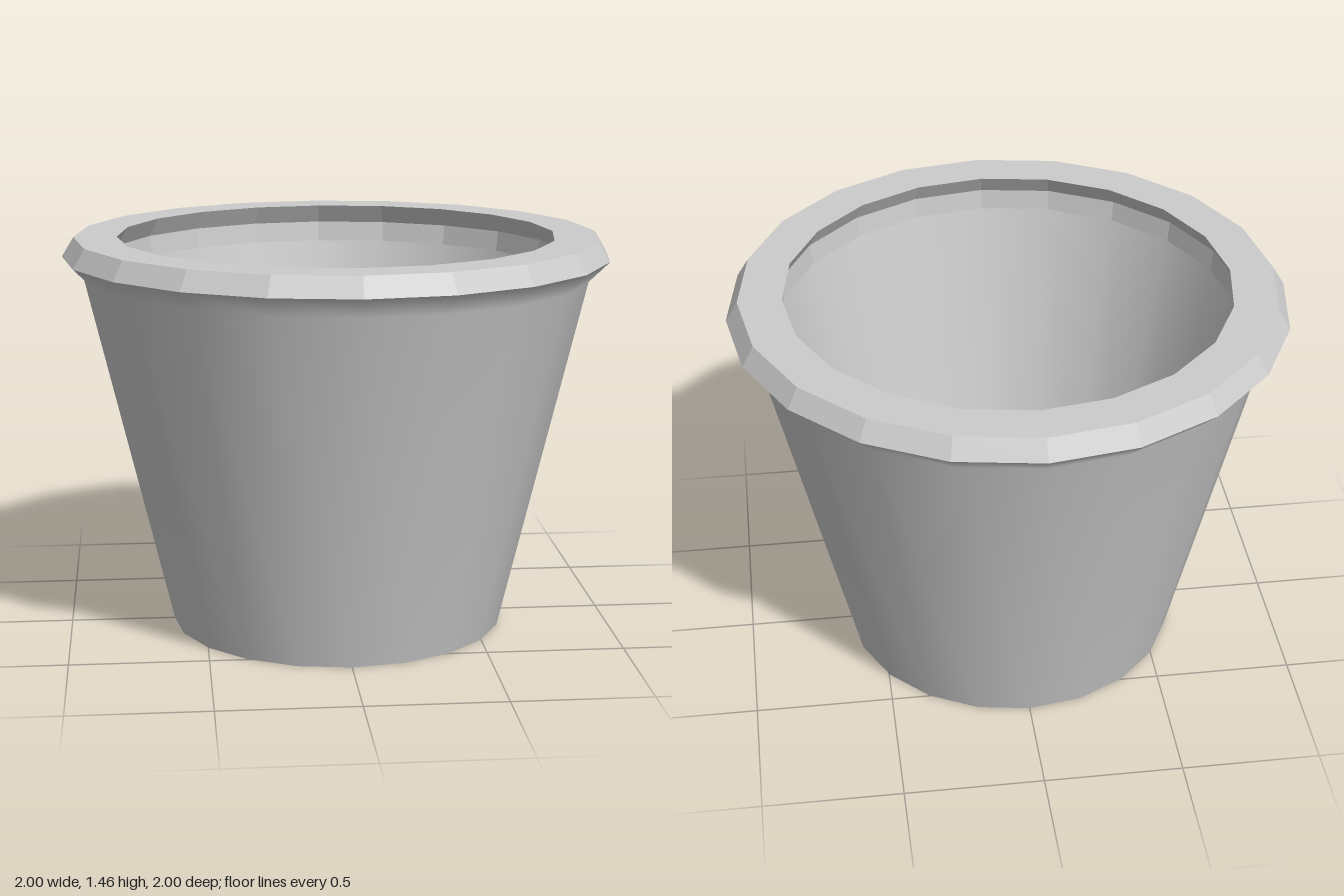
import * as THREE from 'three';

const SIDES = 20;
const smooth = new THREE.MeshStandardMaterial({ color: 0xcccccc });
const faceted = new THREE.MeshStandardMaterial({ color: 0xcccccc, flatShading: true });

// Revolve a short [radius, height] profile into a 20-sided band.
function band(name, profile, material) {
  const points = profile.map(([r, y]) => new THREE.Vector2(r, y));
  const mesh = new THREE.Mesh(new THREE.LatheGeometry(points, SIDES), material);
  mesh.name = name;
  return mesh;
}

// Flat polygon facing up (1) or down (-1).
function disc(name, radius, y, facing) {
  const geometry = new THREE.CircleGeometry(radius, SIDES).rotateX(-facing * Math.PI / 2);
  const mesh = new THREE.Mesh(geometry, faceted);
  mesh.name = name;
  mesh.position.y = y;
  return mesh;
}

export function createModel() {
  const pot = new THREE.Group();
  pot.name = 'pot';

  pot.add(
    // Underside and tapered outer wall, flaring softly into the rim
    disc('base', 0.615, 0, -1),
    band('outerWall', [[0.615, 0], [0.925, 1.31], [1, 1.385]], smooth),

    // Chamfered rim, flat top and undercut inner lip
    band('rim', [[1, 1.385], [0.957, 1.455], [0.8, 1.455], [0.84, 1.385], [0.83, 1.31]], faceted),

    // Hollow inside, parallel to the outer wall
    band('innerWall', [[0.83, 1.31], [0.545, 0.105]], smooth),
    disc('floor', 0.545, 0.105, 1),
  );
  return pot;
}
